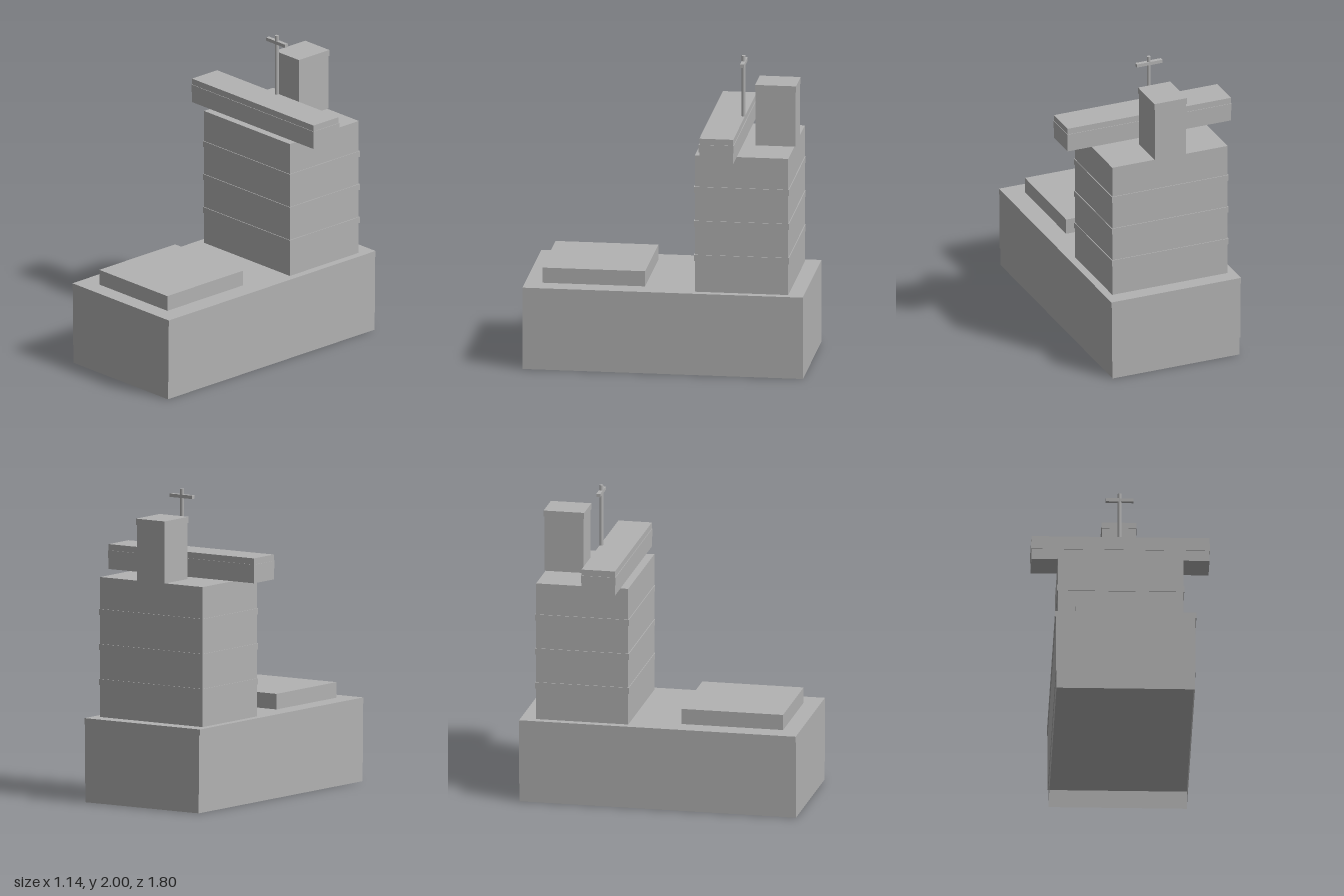
import * as THREE from 'three';

const grey = new THREE.MeshStandardMaterial({ color: 0xb2b2b2, side: THREE.DoubleSide });
grey.name = 'plain grey';

// Block given by its width, depth and vertical extent, centred on x and at z
function block(parent, name, width, depth, y0, y1, z = 0) {
  const mesh = new THREE.Mesh(new THREE.BoxGeometry(width, y1 - y0, depth), grey);
  mesh.name = name;
  mesh.position.set(0, (y0 + y1) / 2, z);
  parent.add(mesh);
  return mesh;
}

export function createModel() {
  const model = new THREE.Group();
  model.name = 'shipSuperstructure';

  // Hull: solid body with a slim side lip above an open-bottomed skirt
  const hull = new THREE.Group();
  hull.name = 'hull';
  model.add(hull);
  block(hull, 'hullBody', 0.89, 1.8, 0.12, 0.5);
  block(hull, 'deckSlab', 0.9, 1.8, 0.5, 0.54);
  const skirt = new THREE.Group();
  skirt.name = 'openSkirt';
  hull.add(skirt);
  for (let i = 0; i < 4; i++) {
    const side = i % 2 === 1;
    const wall = new THREE.Mesh(new THREE.PlaneGeometry(side ? 1.8 : 0.882, 0.12), grey);
    wall.name = 'skirtWall';
    wall.rotation.y = i * Math.PI / 2;
    wall.position.set(side ? (2 - i) * 0.441 : 0, 0.06, side ? 0 : (1 - i) * 0.9);
    skirt.add(wall);
  }

  // Raised cargo hatch on the fore deck
  block(model, 'cargoHatch', 0.635, 0.66, 0.54, 0.64, 0.46);

  // Deckhouse with a narrow raised band at each storey
  const house = new THREE.Group();
  house.name = 'deckhouse';
  model.add(house);
  block(house, 'deckhouseBody', 0.8, 0.6, 0.54, 1.44, -0.5);
  for (let i = 1; i < 4; i++) {
    const y = 0.54 + i * 0.225;
    block(house, 'storeyBand', 0.81, 0.61, y - 0.02, y + 0.02, -0.5);
  }

  // Wide bridge with a window band around it
  block(model, 'bridge', 1.134, 0.218, 1.44, 1.6, -0.36);
  block(model, 'bridgeWindowBand', 1.14, 0.225, 1.51, 1.56, -0.36);

  // Funnel and its cap
  block(model, 'funnel', 0.216, 0.256, 1.44, 1.8, -0.68);
  block(model, 'funnelCap', 0.224, 0.264, 1.8, 1.84, -0.68);

  // Mast with crossbar
  const mast = new THREE.Mesh(new THREE.CylinderGeometry(0.013, 0.013, 0.4, 8), grey);
  mast.name = 'mast';
  mast.position.set(0, 1.8, -0.46);
  model.add(mast);
  block(model, 'mastCrossbar', 0.176, 0.026, 1.943, 1.965, -0.461);

  return model;
}
